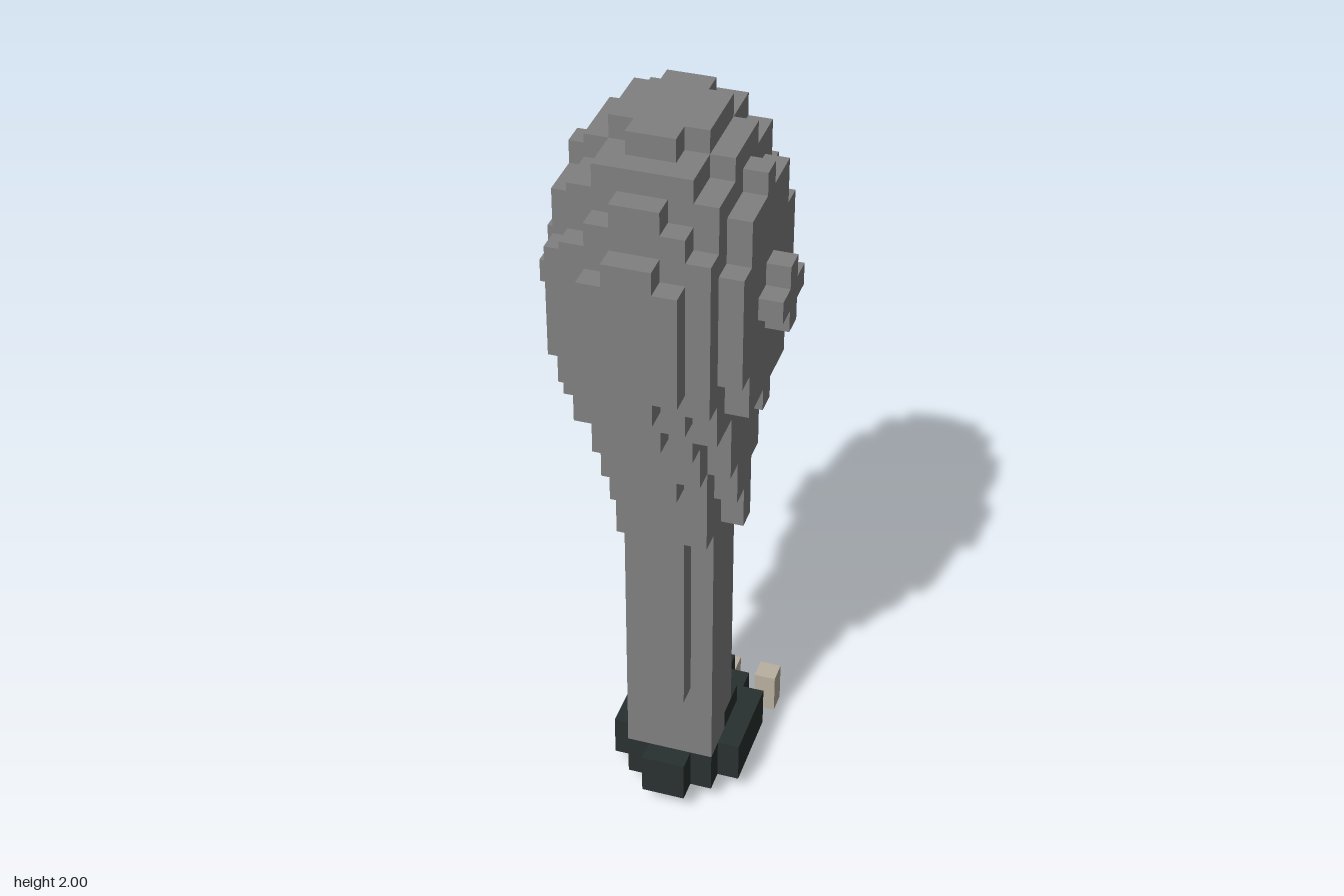
import * as THREE from 'three';

const U = 2 / 36; // size of one block
const grey = new THREE.MeshStandardMaterial({ color: 0x808080, name: 'grey hide' });
const dark = new THREE.MeshStandardMaterial({ color: 0x283130, name: 'dark foot' });
const bone = new THREE.MeshStandardMaterial({ color: 0xb8b09f, name: 'bone claw' });

// Block (x, y, z) spans x..x+1, y..y+1 and z-0.5..z+0.5 in block units
const blocks = new Map();
const key = (x, y, z) => `${x},${y},${z}`;
const put = (part, x, y, z) => {
  if (!blocks.has(key(x, y, z))) blocks.set(key(x, y, z), { part, x, y, z });
};
// One row of blocks, mirrored about x = 0
const row = (part, half, y, z) => {
  for (let x = -half; x < half; x++) put(part, x, y, z);
};
// Fill the part where inside(x, y, z) holds at block centres
function fill(part, y0, y1, inside) {
  for (let y = y0; y < y1; y++)
    for (let z = -6; z <= 6; z++)
      for (let x = -5; x < 5; x++) if (inside(x + 0.5, y, z)) put(part, x, y, z);
}

function fillBlocks() {
  // Foot: stepped oval slabs, half widths listed from back to front
  const oval = [1, 2, 3, 3, 3, 3, 2, 1];
  const small = [1, 2, 2, 1];
  small.forEach((h, i) => row('foot', h, 0, i - 3));
  for (const y of [1, 2]) oval.forEach((h, i) => row('foot', h, y, i - 5));
  small.forEach((h, i) => row('foot', h, 3, i - 3));

  // Claws at the back of the foot
  for (const x of [-2, 0, 2]) for (const y of [0, 1]) put('claws', x, y, -6);

  // Thigh: ellipsoid
  fill('thigh', 21, 36, (x, y, z) =>
    0.0474 * x * x + 0.0162 * (y - 28) ** 2 + 0.0331 * (z - 1) ** 2 <= 1);

  // Shin: round layers [from, to, centre z, radius squared], widening upward
  const layers = [
    [3, 7, 0, 3.5], [7, 16, 0, 5], [16, 18, 0, 6.5], [18, 19, 0.2, 7.3],
    [19, 20, 0.25, 8.2], [20, 21, 0.35, 9.4], [21, 22, 0.5, 10],
  ];
  for (const [y0, y1, zc, r2] of layers)
    fill('shin', y0, y1, (x, y, z) => x * x + (z - zc) ** 2 <= r2);
}

// Outer faces of one part's blocks
function partGeometry(part) {
  const pos = [], nor = [], index = [];
  for (const b of blocks.values()) {
    if (b.part !== part) continue;
    const c = [b.x + 0.5, b.y + 0.5, b.z];
    for (let a = 0; a < 3; a++)
      for (const s of [-1, 1]) {
        const n = [0, 0, 0];
        n[a] = s;
        if (blocks.has(key(b.x + n[0], b.y + n[1], b.z + n[2]))) continue;
        const base = pos.length / 3;
        for (const [p, q] of [[-1, -1], [1, -1], [1, 1], [-1, 1]]) {
          const v = [...c];
          v[a] += s / 2;
          v[(a + 1) % 3] += (p * s) / 2;
          v[(a + 2) % 3] += q / 2;
          pos.push(v[0] * U, v[1] * U, v[2] * U);
          nor.push(...n);
        }
        index.push(base, base + 1, base + 2, base, base + 2, base + 3);
      }
  }
  const g = new THREE.BufferGeometry();
  g.setAttribute('position', new THREE.Float32BufferAttribute(pos, 3));
  g.setAttribute('normal', new THREE.Float32BufferAttribute(nor, 3));
  g.setIndex(index);
  return g;
}

export function createModel() {
  const group = new THREE.Group();
  group.name = 'blockLeg';
  blocks.clear();
  fillBlocks();
  const parts = { thigh: grey, shin: grey, foot: dark, claws: bone };
  for (const [name, material] of Object.entries(parts)) {
    const mesh = new THREE.Mesh(partGeometry(name), material);
    mesh.name = name;
    group.add(mesh);
  }
  return group;
}
